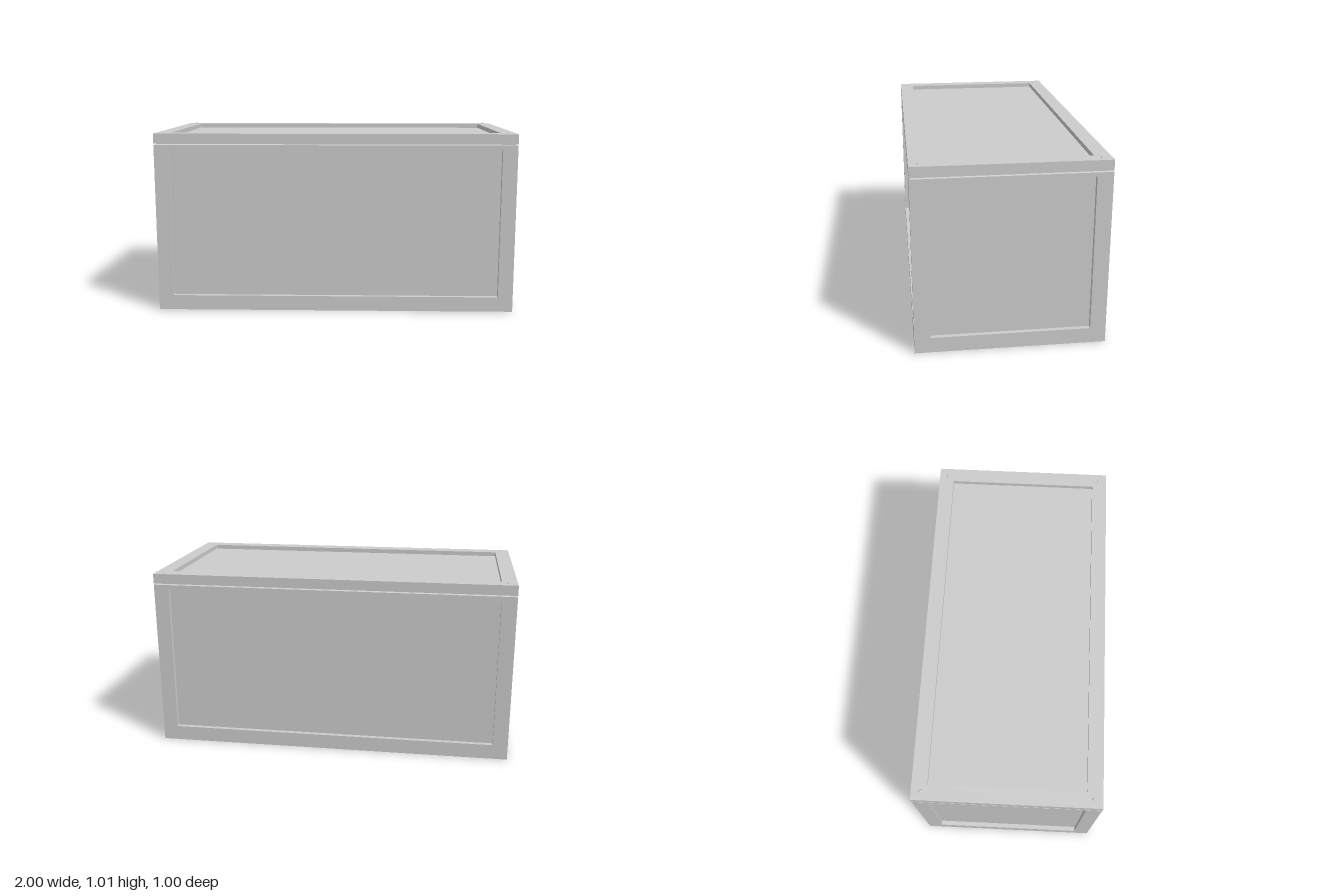
import * as THREE from 'three';

const W = 2, D = 1;          // outer footprint
const T = 0.025;             // depth of the recessed panels
const BODY_TOP = 0.938, LID_BOTTOM = 0.945, TOP = 1;

const material = new THREE.MeshStandardMaterial({ color: 0xcccccc });

function add(parent, name, geometry, x = 0, y = 0, z = 0) {
  const mesh = new THREE.Mesh(geometry, material);
  mesh.name = name;
  mesh.position.set(x, y, z);
  parent.add(mesh);
  return mesh;
}

function boxBetween(parent, name, w, y0, y1, d) {
  return add(parent, name, new THREE.BoxGeometry(w, y1 - y0, d), 0, (y0 + y1) / 2, 0);
}

// Rectangle with slightly rounded corners, used as the panel opening
function roundedRect(x0, y0, x1, y1, r = 0.005) {
  const p = new THREE.Path();
  p.moveTo(x0 + r, y0);
  p.lineTo(x1 - r, y0).quadraticCurveTo(x1, y0, x1, y0 + r);
  p.lineTo(x1, y1 - r).quadraticCurveTo(x1, y1, x1 - r, y1);
  p.lineTo(x0 + r, y1).quadraticCurveTo(x0, y1, x0, y1 - r);
  p.lineTo(x0, y0 + r).quadraticCurveTo(x0, y0, x0 + r, y0);
  return p;
}

// Flat frame in the xy plane, thickness T towards +z
function frameGeometry(x, y0, y1, hx, hy0, hy1) {
  const s = new THREE.Shape();
  s.moveTo(-x, y0).lineTo(x, y0).lineTo(x, y1).lineTo(-x, y1).closePath();
  s.holes.push(roundedRect(-hx, hy0, hx, hy1));
  return new THREE.ExtrudeGeometry(s, { depth: T, bevelEnabled: false, curveSegments: 4 });
}

export function createModel() {
  const model = new THREE.Group();
  model.name = 'chest';

  // Body: solid core whose faces are the sunken panels
  const body = new THREE.Group();
  body.name = 'body';
  model.add(body);
  boxBetween(body, 'bodyPanels', W - 2 * T, T, BODY_TOP, D - 2 * T);

  // Raised frames around the four walls
  const longFrame = frameGeometry(W / 2, 0, BODY_TOP, 0.917, 0.083, 0.918);
  const endFrame = frameGeometry(D / 2 - T, 0, BODY_TOP, 0.417, 0.083, 0.918);
  add(body, 'frontFrame', longFrame, 0, 0, D / 2 - T);
  add(body, 'backFrame', longFrame, 0, 0, -D / 2 + T).rotation.y = Math.PI;
  for (const side of [1, -1]) {
    const name = side > 0 ? 'leftFrame' : 'rightFrame';
    add(body, name, endFrame, side * (W / 2 - T), 0, 0).rotation.y = side * Math.PI / 2;
  }

  // Bottom frame
  const baseFrame = frameGeometry(W / 2 - T, -D / 2 + T, D / 2 - T, 0.917, -0.417, 0.417);
  add(body, 'bottomFrame', baseFrame, 0, T, 0).rotation.x = Math.PI / 2;

  // Chamfered rim: a thin box with its top corners drawn inwards
  const rim = boxBetween(body, 'rim', W, BODY_TOP, 0.942, D).geometry;
  const pos = rim.attributes.position;
  for (let i = 0; i < pos.count; i++) {
    if (pos.getY(i) > 0) {
      pos.setX(i, pos.getX(i) - Math.sign(pos.getX(i)) * 0.012);
      pos.setZ(i, pos.getZ(i) - Math.sign(pos.getZ(i)) * 0.012);
    }
  }
  rim.computeVertexNormals();
  boxBetween(body, 'seam', W - 0.024, 0.94, 0.95, D - 0.024);

  // Lid with a sunken top panel
  const lid = new THREE.Group();
  lid.name = 'lid';
  model.add(lid);
  boxBetween(lid, 'lidPanel', W, LID_BOTTOM, TOP - T, D);
  const lidFrame = frameGeometry(W / 2, -D / 2, D / 2, 0.917, -0.417, 0.417);
  add(lid, 'lidFrame', lidFrame, 0, TOP - T, 0).rotation.x = -Math.PI / 2;

  // Small domed studs at the lid corners
  const stud = new THREE.SphereGeometry(0.008, 16, 12);
  for (const x of [-0.952, 0.952])
    for (const z of [-0.451, 0.451]) add(lid, 'cornerStud', stud, x, TOP - 0.001, z);

  return model;
}
